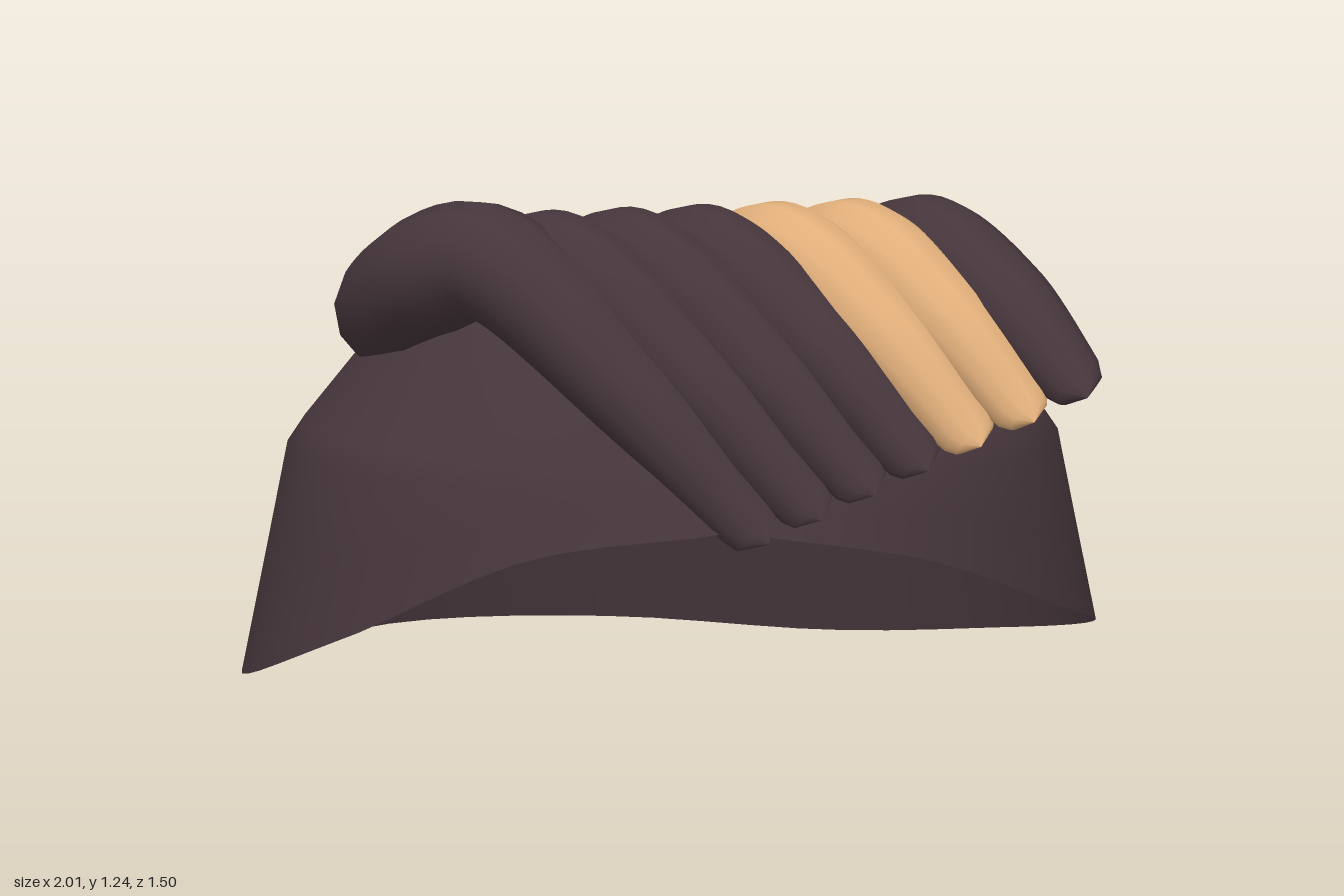
import * as THREE from 'three';

const darkHair = new THREE.MeshStandardMaterial({ color: 0x46363c, side: THREE.DoubleSide });
darkHair.name = 'darkHair';
const goldHair = new THREE.MeshStandardMaterial({ color: 0xe0ae7a });
goldHair.name = 'goldHair';

const V = (x, y, z) => new THREE.Vector3(x, y, z);
const lerp = THREE.MathUtils.lerp;

// Height of the hem every 30 degrees, from the front round by the left side
const HEM = [0.51, 0.41, 0.235, 0.125, 0.045, 0.0, 0.035, 0.06, 0.05, 0.08, 0.23, 0.445];
const hemCurve = new THREE.CatmullRomCurve3(HEM.map((y, i) => V(i, y, 0)).concat(V(12, HEM[0], 0)));

function hemHeight(f) {
  return Math.max(0, hemCurve.getPoint(f).y);
}

// Open shell of elliptical rings with a slanting hem and a low crown
function capGeometry() {
  const N = 56;
  const upper = [
    [0.6, 0.905, 0.675], [0.66, 0.865, 0.645], [0.82, 0.735, 0.55],
    [0.97, 0.605, 0.455], [1.03, 0.51, 0.39], [1.09, 0.25, 0.2],
  ];
  const pos = [], index = [];
  const ring = (fn) => {
    for (let i = 0; i < N; i++) {
      const a = (i / N) * Math.PI * 2;
      const [y, rx, rz] = fn(i / N);
      pos.push(rx * Math.sin(a), y, rz * Math.cos(a));
    }
  };
  // Tapering wall from the hem up to the shoulder, flaring a little at the front
  for (const t of [0, 0.5]) {
    ring((f) => {
      const y = lerp(hemHeight(f), 0.6, t);
      const flare = 0.035 * Math.max(0, Math.cos(f * Math.PI * 2)) ** 2 * (1 - t);
      return [y, 1.024 - 0.2 * y, 0.76 - 0.147 * y + flare];
    });
  }
  upper.forEach((r) => ring(() => r));
  const rings = upper.length + 2;
  for (let r = 0; r < rings - 1; r++) {
    for (let i = 0; i < N; i++) {
      const j = (i + 1) % N, a = r * N, b = a + N;
      index.push(a + i, a + j, b + j, a + i, b + j, b + i);
    }
  }
  // Crown
  const top = rings * N, last = top - N;
  pos.push(0, 1.13, 0.03);
  for (let i = 0; i < N; i++) index.push(last + i, last + ((i + 1) % N), top);
  const g = new THREE.BufferGeometry();
  g.setAttribute('position', new THREE.Float32BufferAttribute(pos, 3));
  g.setIndex(index);
  g.computeVertexNormals();
  return g;
}

// Tube along a path, its radius running through the given values, with rounded
// ends and a tip that flattens against the cap
function lockGeometry(points, radii) {
  const SEG = 48, SIDES = 12;
  const curve = new THREE.CatmullRomCurve3(points);
  const length = curve.getLength();
  const g = new THREE.TubeGeometry(curve, SEG, 1, SIDES, false);
  const p = g.attributes.position, v = new THREE.Vector3();
  const out = V(0.25, 0.5, 0.83).normalize();
  for (let s = 0; s <= SEG; s++) {
    const t = s / SEG;
    const k = Math.min(t * (radii.length - 1), radii.length - 1.0001), k0 = Math.floor(k);
    const d = Math.min(1, (Math.min(t, 1 - t) * length) / 0.06);
    const r = lerp(radii[k0], radii[k0 + 1], k - k0) * Math.sqrt(1 - (1 - d) ** 2);
    const c = curve.getPointAt(t);
    const squash = 0.35 * t ** 3;
    for (let i = 0; i <= SIDES; i++) {
      const n = s * (SIDES + 1) + i;
      v.fromBufferAttribute(p, n).sub(c).multiplyScalar(r);
      v.addScaledVector(out, -v.dot(out) * squash).add(c);
      p.setXYZ(n, v.x, v.y, v.z);
    }
  }
  return g;
}

export function createModel() {
  const model = new THREE.Group();
  model.name = 'hair';
  const add = (name, geometry, material) => {
    const m = new THREE.Mesh(geometry, material);
    m.name = name;
    model.add(m);
  };

  add('hairCap', capGeometry(), darkHair);

  // Seven fringe locks swept across the front; the outer two start behind the crown
  for (let i = 0; i < 7; i++) {
    const t = i / 6;
    const crestX = lerp(-0.505, 0.555, t);
    const front = [
      V(crestX, 1.095, 0.325),
      V(lerp(-0.215, 0.69, t), lerp(0.82, 0.99, t), lerp(0.56, 0.55, t)),
      V(lerp(0.08, 0.835, t), lerp(0.475, 0.795, t), lerp(0.705, 0.72, t)),
    ];
    let back, radii = [0.1, 0.11, 0.115, 0.1, 0.075];
    if (i === 0) {
      back = [V(-0.5, 0.84, -0.38), V(-0.605, 0.88, -0.2), V(-0.655, 0.94, 0), V(-0.615, 1.045, 0.19)];
      radii = [0.105, 0.14, 0.145, 0.13, 0.11, 0.075];
    } else if (i === 6) {
      back = [V(0.55, 0.8, -0.41), V(0.5, 0.87, -0.22), V(0.44, 0.96, 0), V(0.48, 1.05, 0.16)];
      radii = [0.065, 0.085, 0.11, 0.115, 0.105, 0.075];
    } else {
      back = [V(crestX - 0.12, 0.92, -0.03), V(crestX - 0.09, 1.025, 0.13)];
    }
    const gold = i === 4 || i === 5;
    add((gold ? 'goldLock' : 'darkLock') + (i + 1), lockGeometry([...back, ...front], radii), gold ? goldHair : darkHair);
  }
  return model;
}
